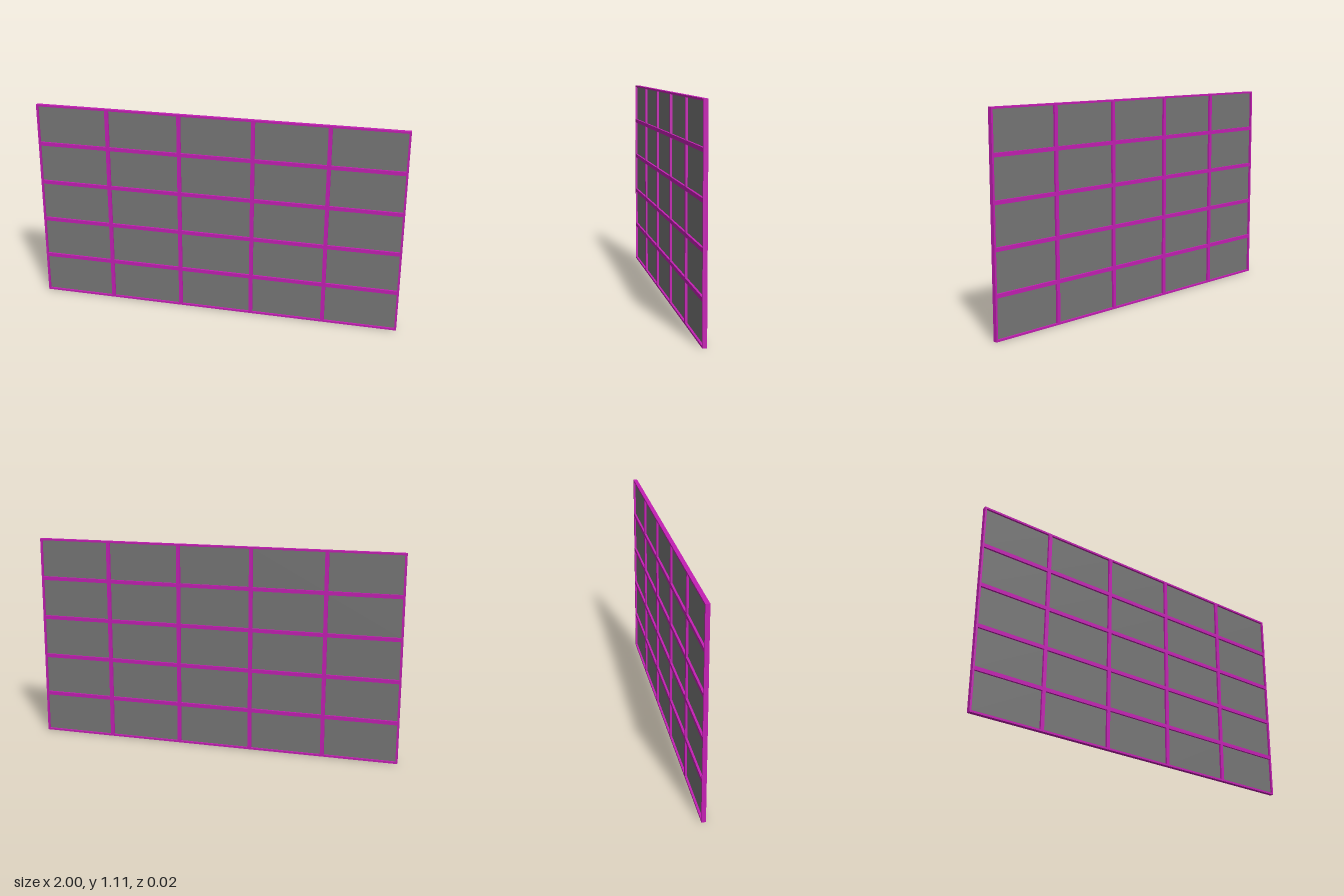
import * as THREE from 'three';

const COLS = 5, ROWS = 5;
const WIDTH = 2, HEIGHT = 1.11, DEPTH = 0.022;
const RIM = 0.01; // frame width around each pane; neighbours share a double-width bar

// Rectangle outline traced counter-clockwise
function rectangle(Type, x0, y0, x1, y1) {
  return new Type([
    new THREE.Vector2(x0, y0), new THREE.Vector2(x1, y0),
    new THREE.Vector2(x1, y1), new THREE.Vector2(x0, y1),
  ]);
}

export function createModel() {
  const model = new THREE.Group();
  model.name = 'griddedWindowWall';
  const frameMaterial = new THREE.MeshStandardMaterial({ color: 0xc41fb4 });
  const glassMaterial = new THREE.MeshStandardMaterial({ color: 0x777777, side: THREE.DoubleSide });

  const cellW = WIDTH / COLS, cellH = HEIGHT / ROWS;
  const outline = rectangle(THREE.Shape, -WIDTH / 2, 0, WIDTH / 2, HEIGHT);
  const panes = new THREE.Group();
  panes.name = 'panes';
  const paneGeometry = new THREE.PlaneGeometry(cellW - 2 * RIM, cellH - 2 * RIM);

  // One opening in the frame and one thin pane per cell
  for (let row = 0; row < ROWS; row++) {
    for (let col = 0; col < COLS; col++) {
      const x = -WIDTH / 2 + col * cellW, y = row * cellH;
      outline.holes.push(rectangle(THREE.Path, x + RIM, y + RIM, x + cellW - RIM, y + cellH - RIM));
      const pane = new THREE.Mesh(paneGeometry, glassMaterial);
      pane.name = `pane_${row + 1}_${col + 1}`;
      pane.position.set(x + cellW / 2, y + cellH / 2, 0);
      panes.add(pane);
    }
  }

  // Frame with all its mullions, centred in depth
  const frameGeometry = new THREE.ExtrudeGeometry(outline, { depth: DEPTH, bevelEnabled: false });
  frameGeometry.translate(0, 0, -DEPTH / 2);
  const frame = new THREE.Mesh(frameGeometry, frameMaterial);
  frame.name = 'frame';

  model.add(frame, panes);
  return model;
}
